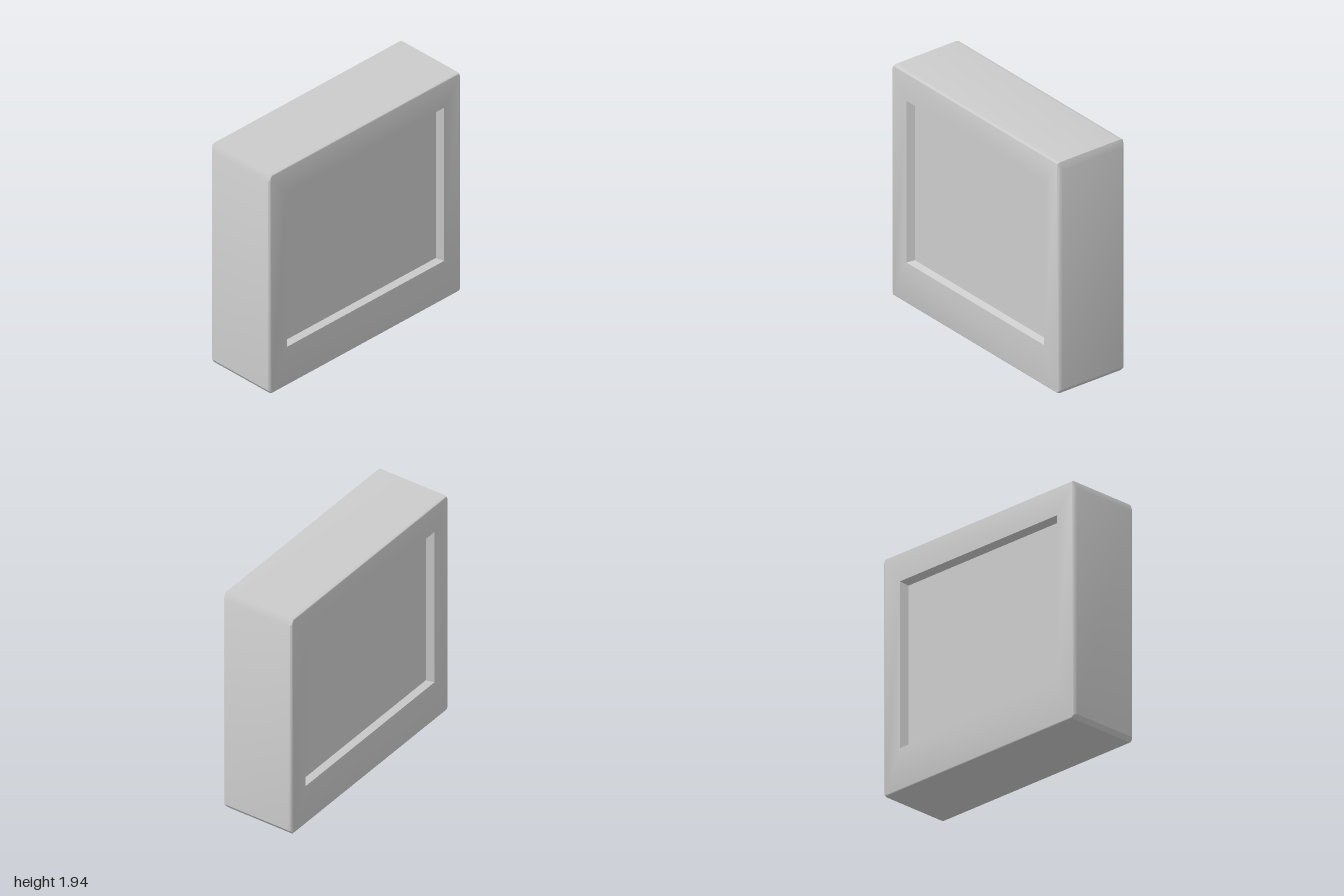
import * as THREE from 'three';
import { toCreasedNormals } from 'three/addons/utils/BufferGeometryUtils.js';

const material = new THREE.MeshStandardMaterial({ color: 0xcccccc });

// Skin between closed rings of points (counter-clockwise seen from +z), front to back
function loft(rings, capStart = false) {
  const pos = [];
  const tri = (a, b, c) => {
    const n = b.clone().sub(a).cross(c.clone().sub(a));
    if (n.length() > 1e-9) pos.push(...a.toArray(), ...b.toArray(), ...c.toArray());
  };
  for (let i = 0; i < rings.length - 1; i++) {
    const p = rings[i], q = rings[i + 1];
    for (let j = 0; j < p.length; j++) {
      const k = (j + 1) % p.length;
      tri(p[j], q[j], q[k]);
      tri(p[j], q[k], p[k]);
    }
  }
  if (capStart) for (let j = 1; j < rings[0].length - 1; j++) tri(rings[0][0], rings[0][j], rings[0][j + 1]);
  const g = new THREE.BufferGeometry();
  g.setAttribute('position', new THREE.Float32BufferAttribute(pos, 3));
  return toCreasedNormals(g, 0.6);
}

// Chamfered rectangle, two points per corner: the x and y insets, and z
function ring(x, y0, y1, z, dx = 0, dyBottom = 0, dyTop = 0) {
  return [
    [x - dx, y0], [x, y0 + dyBottom], [x, y1 - dyTop], [x - dx, y1],
    [-x + dx, y1], [-x, y1 - dyTop], [-x, y0 + dyBottom], [-x + dx, y0],
  ].map(([px, py]) => new THREE.Vector3(px, py, z));
}

function mesh(name, geometry) {
  const m = new THREE.Mesh(geometry, material);
  m.name = name;
  return m;
}

export function createModel() {
  const model = new THREE.Group();
  model.name = 'recessedBlock';

  // Body: front frame, rounded front edge, sides, rounded back edge, back frame
  const opening = (z) => ring(0.818, 0.345, 1.705, z);
  const edgeRing = (angle, side) => {
    const c = Math.cos(angle);
    return ring(0.975 + 0.025 * c, 0.012 * (1 - c), 1.928 + 0.012 * c,
      side * (0.28 + 0.03 * Math.sin(angle)), 0.025 * c, 0.035 * c, 0.06 * c);
  };
  const rings = [opening(0.31)];
  for (let i = 3; i >= 0; i--) rings.push(edgeRing(i * Math.PI / 6, 1));
  for (let i = 0; i <= 3; i++) rings.push(edgeRing(i * Math.PI / 6, -1));
  rings.push(opening(-0.31));
  model.add(mesh('body', loft(rings)));

  // Shallow recess with sloping walls, on the front and the back
  const recess = loft([ring(0.785, 0.36, 1.677, 0.255), opening(0.31)], true);
  const front = mesh('frontRecess', recess);
  const back = mesh('backRecess', recess);
  back.rotation.y = Math.PI;
  model.add(front, back);

  return model;
}
